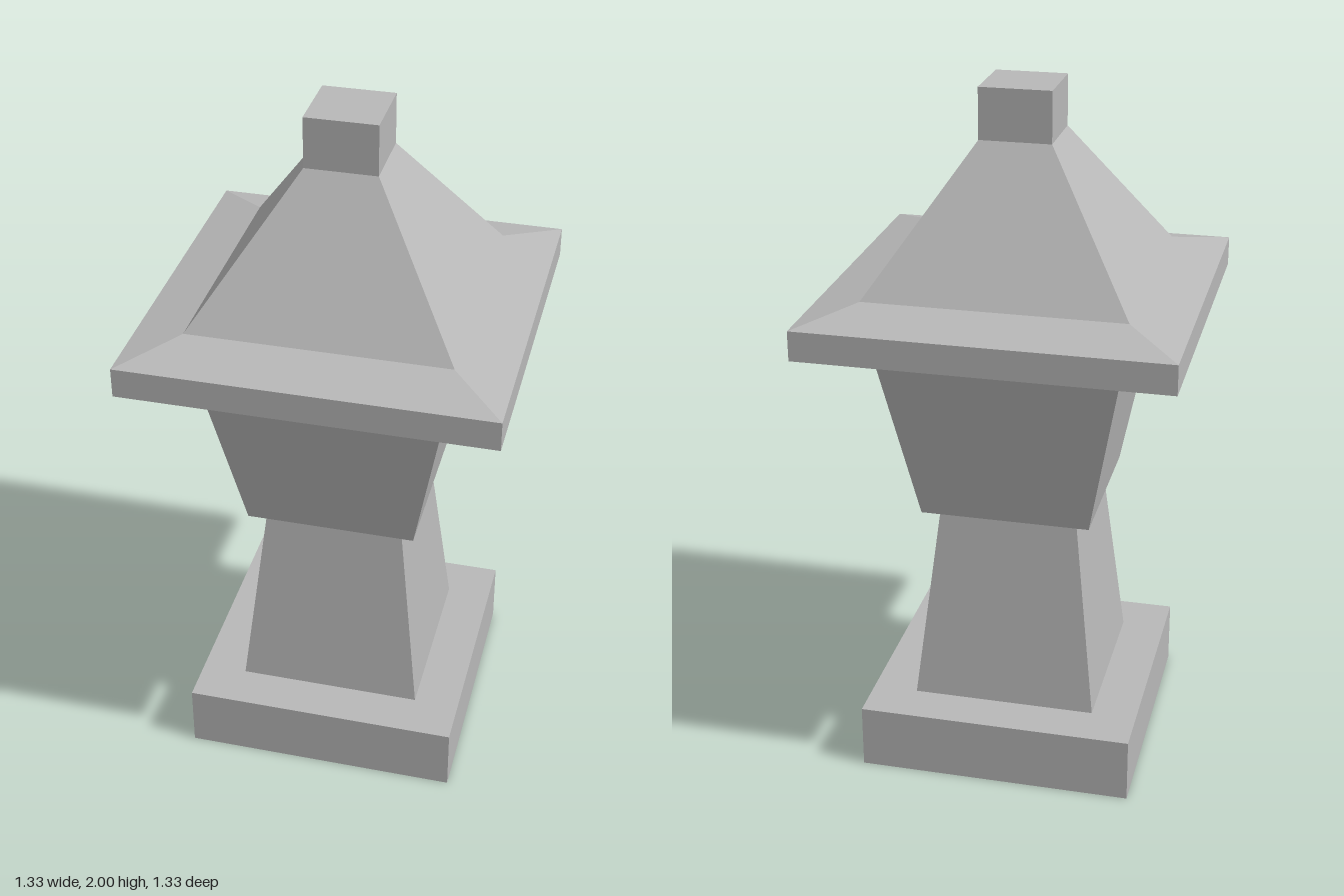
import * as THREE from 'three';

const TURN = 0.447; // the whole lantern is turned about its axis

// Four-sided shell from a profile of [corner radius, height], bottom to top
function squareShell(name, profile, material) {
  const points = profile.map(([r, y]) => new THREE.Vector2(r, y));
  const geometry = new THREE.LatheGeometry(points, 4, TURN).toNonIndexed();
  geometry.computeVertexNormals(); // flat facets
  const mesh = new THREE.Mesh(geometry, material);
  mesh.name = name;
  return mesh;
}

export function createModel() {
  const stone = new THREE.MeshStandardMaterial({ color: 0xb8b8b8, flatShading: true, side: THREE.DoubleSide });
  stone.name = 'grey stone';

  const lantern = new THREE.Group();
  lantern.name = 'stoneLantern';
  lantern.add(
    // Plinth, open underneath, with a ledge around the shaft
    squareShell('plinth', [[0.565, 0], [0.565, 0.19], [0.379, 0.19]], stone),
    // Shaft narrowing upwards
    squareShell('shaft', [[0.379, 0.19], [0.285, 0.77]], stone),
    // Lamp housing flaring upwards from a bevelled lip
    squareShell('lampHousing', [[0.285, 0.77], [0.347, 0.785], [0.498, 1.34]], stone),
    // Overhanging eave with soffit, edge and shallow slope
    squareShell('eave', [[0.498, 1.34], [0.735, 1.34], [0.735, 1.425], [0.519, 1.465]], stone),
    // Steep roof
    squareShell('roof', [[0.519, 1.465], [0.144, 1.855]], stone),
    // Square finial with a closed top
    squareShell('finial', [[0.144, 1.855], [0.144, 2], [0, 2]], stone),
  );
  return lantern;
}
